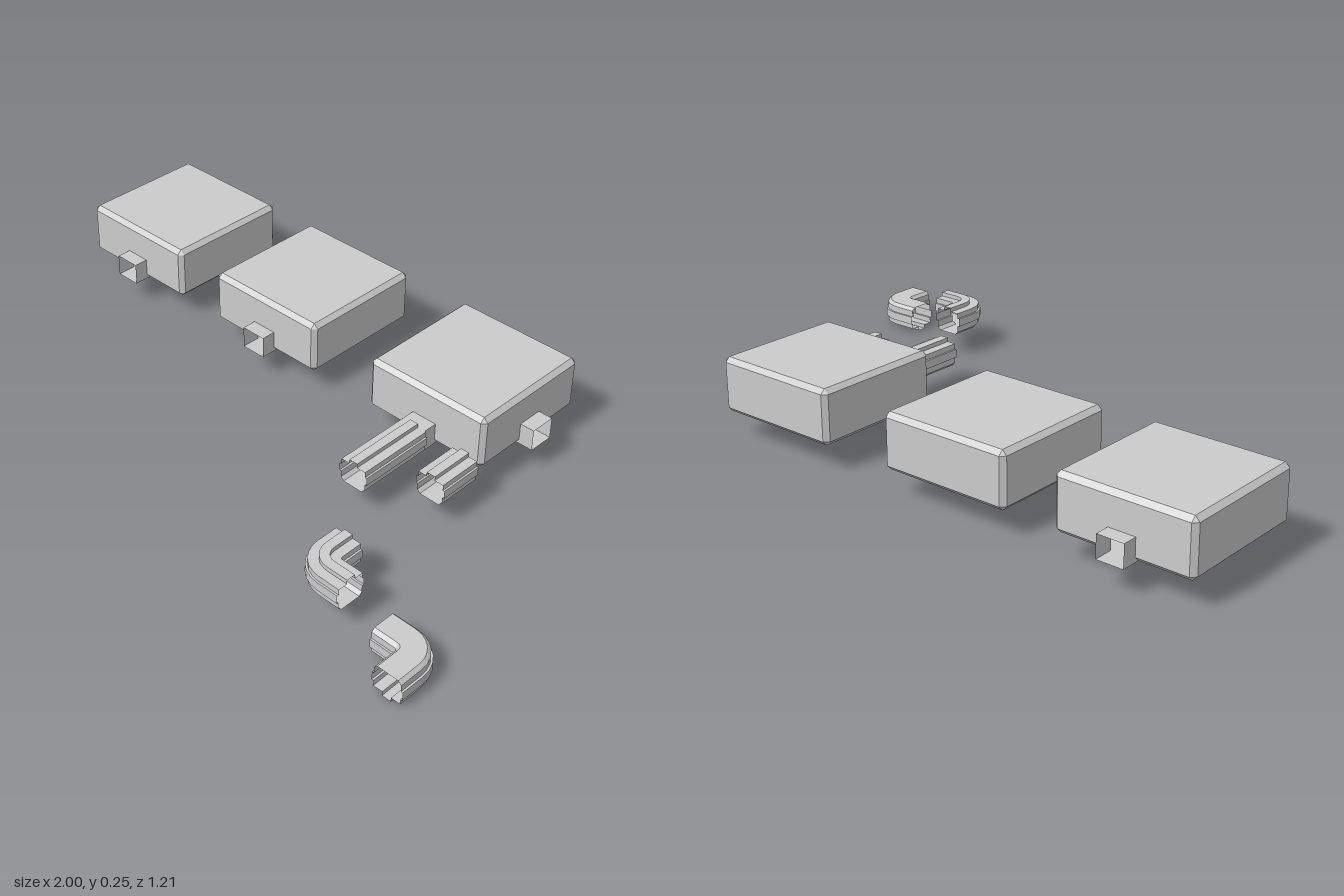
import * as THREE from 'three';

const material = new THREE.MeshStandardMaterial({ color: 0xcccccc, flatShading: true, side: THREE.DoubleSide });

// Flat-shaded mesh from a list of convex polygons
function facetMesh(name, faces) {
  const pos = [];
  for (const f of faces)
    for (let i = 1; i < f.length - 1; i++) pos.push(...f[0], ...f[i], ...f[i + 1]);
  const geo = new THREE.BufferGeometry();
  geo.setAttribute('position', new THREE.Float32BufferAttribute(pos, 3));
  geo.computeVertexNormals();
  const mesh = new THREE.Mesh(geo, material);
  mesh.name = name;
  return mesh;
}

// Chamfered hollow housing; sides are numbered 0 front, 1 left (+x), 2 back, 3 right
const H = 0.208, C = 0.014, I = H - C;
const Y0 = 0.08, Y1 = 0.247, YB = Y0 + C, YT = Y1 - C;
const PORT_W = 0.041, PORT_TOP = 0.148, PORT_OUT = H + 0.046;

function createHousing(name, x, ports) {
  const group = new THREE.Group();
  group.name = name;
  const shell = [
    [[-I, Y1, I], [I, Y1, I], [I, Y1, -I], [-I, Y1, -I]],
    [[-I, Y0, -I], [I, Y0, -I], [I, Y0, I], [-I, Y0, I]],
  ];
  for (let side = 0; side < 4; side++) {
    const c = Math.round(Math.cos(side * Math.PI / 2)), s = Math.round(Math.sin(side * Math.PI / 2));
    const turn = (f) => f.map(([u, y, d]) => [u * c + d * s, y, d * c - u * s]);
    const open = ports.includes(side);
    const faces = [];
    // wall and lower chamfer, split around a port
    for (const [a, b] of open ? [[-I, -PORT_W], [PORT_W, I]] : [[-I, I]]) {
      faces.push([[a, YB, H], [b, YB, H], [b, YT, H], [a, YT, H]]);
      faces.push([[a, Y0, I], [b, Y0, I], [b, YB, H], [a, YB, H]]);
    }
    if (open) faces.push([[-PORT_W, PORT_TOP, H], [PORT_W, PORT_TOP, H], [PORT_W, YT, H], [-PORT_W, YT, H]]);
    // upper chamfer, corner chamfer and corner triangles
    faces.push(
      [[-I, YT, H], [I, YT, H], [I, Y1, I], [-I, Y1, I]],
      [[I, YB, H], [H, YB, I], [H, YT, I], [I, YT, H]],
      [[I, YT, H], [H, YT, I], [I, Y1, I]],
      [[I, YB, H], [I, Y0, I], [H, YB, I]],
    );
    shell.push(...faces.map(turn));
    // open square connector sleeve
    if (open) {
      const ring = [[-PORT_W, Y0], [PORT_W, Y0], [PORT_W, PORT_TOP], [-PORT_W, PORT_TOP]];
      const sleeve = ring.map(([u, y], i) => {
        const [u2, y2] = ring[(i + 1) % 4];
        return turn([[u, y, I], [u2, y2, I], [u2, y2, PORT_OUT], [u, y, PORT_OUT]]);
      });
      group.add(facetMesh('connectorSleeve', sleeve));
    }
  }
  group.add(facetMesh('housingShell', shell));
  group.position.set(x, 0, -0.352);
  return group;
}

// Ribbed channel section: flat base, a rib on each side and one on top
const half = [[0.033, -0.043], [0.043, -0.033], [0.043, -0.013], [0.049, -0.013], [0.049, 0.013],
  [0.043, 0.013], [0.043, 0.03], [0.014, 0.03], [0.014, 0.043]];
const section = [...half, ...half.map(([u, v]) => [-u, v]).reverse()];

// Sweep the section along frames of [centre x, centre z, angle], at radius r from the centre
function sweep(name, frames, r, y, flip = 1) {
  const loops = frames.map(([cx, cz, a]) => section.map(([u, v]) => {
    const d = r + u * flip;
    return [cx + Math.cos(a) * d, y + v * flip, cz + Math.sin(a) * d];
  }));
  const faces = [];
  for (let k = 0; k < loops.length - 1; k++)
    for (let i = 0; i < section.length; i++) {
      const j = (i + 1) % section.length;
      faces.push([loops[k][i], loops[k][j], loops[k + 1][j], loops[k + 1][i]]);
    }
  return facetMesh(name, faces);
}

const straight = (name, x, z0, z1) => sweep(name, [[x, z0, 0], [x, z1, 0]], 0, 0.1165);

// Quarter bend with a short straight leg at each end
function elbow(name, cx, cz, start, leg, y, flip) {
  const steps = 6, frames = [];
  const end = start + Math.PI / 2;
  const shifted = (a, t) => [cx - Math.sin(a) * t, cz + Math.cos(a) * t, a];
  frames.push(shifted(start, -leg));
  for (let i = 0; i <= steps; i++) frames.push([cx, cz, start + (i / steps) * Math.PI / 2]);
  frames.push(shifted(end, leg));
  return sweep(name, frames, 0.05, y, flip);
}

export function createModel() {
  const model = new THREE.Group();
  model.name = 'housingsAndChannels';
  model.add(
    createHousing('throughHousing', -0.792, [0, 2]),
    createHousing('endHousing', -0.218, [0]),
    createHousing('cornerHousing', 0.415, [0, 1]),
    straight('longChannel', 0.416, -0.1, 0.148),
    straight('shortChannel', 0.598, -0.1, 0.042),
    elbow('uprightElbow', 0.648, 0.431, Math.PI / 2, 0.069, 0.1165, 1),
    elbow('invertedElbow', 0.9, 0.528, -Math.PI / 2, 0.075, 0.0435, -1),
  );
  return model;
}
